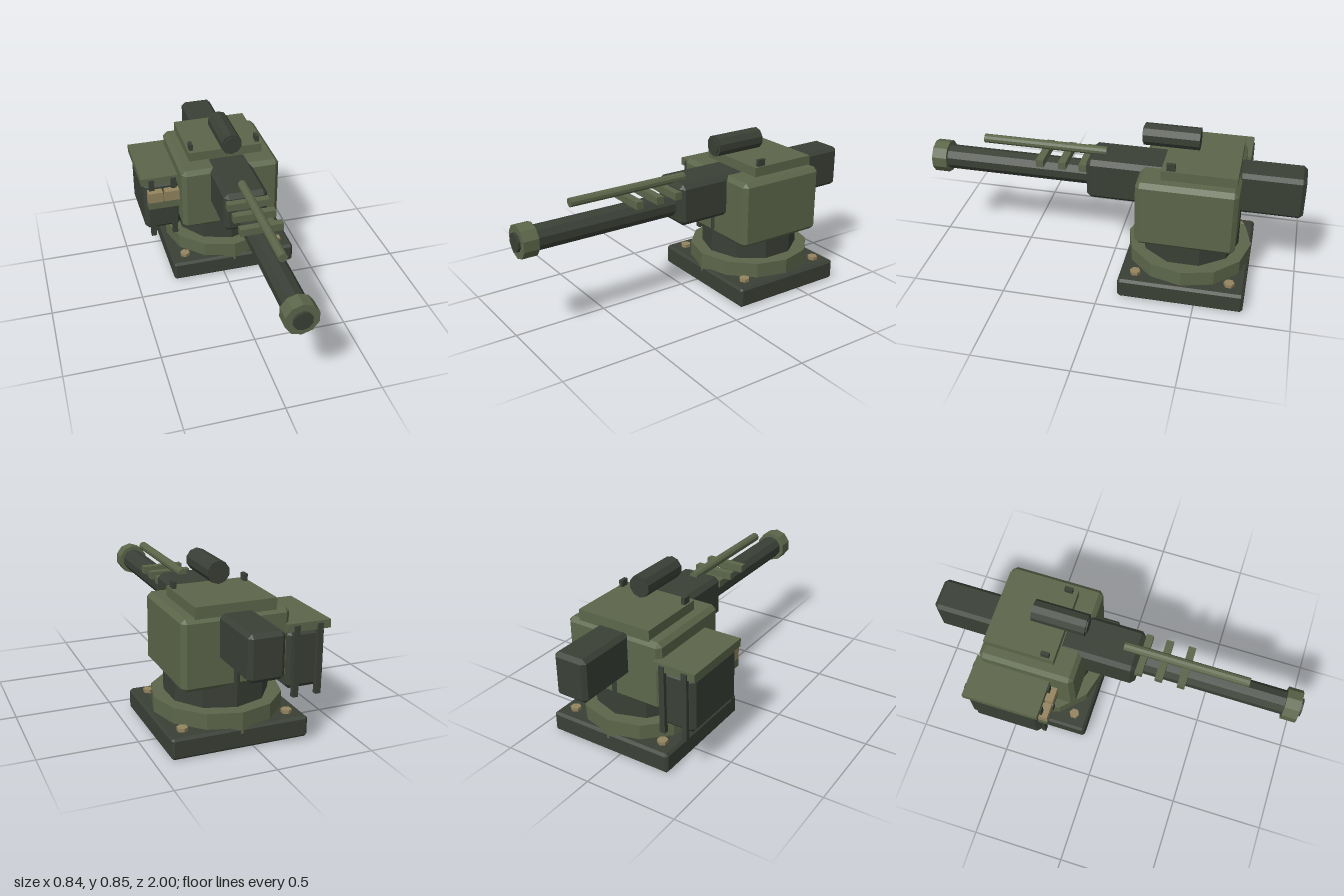
import * as THREE from 'three';
import { ConvexGeometry } from 'three/addons/geometries/ConvexGeometry.js';

const material = (name, color) => {
  const m = new THREE.MeshStandardMaterial({ color, flatShading: true });
  m.name = name;
  return m;
};

export function createModel() {
  const green = material('olive green', 0x5c664a);
  const dark = material('dark grey green', 0x3a4036);
  const tan = material('brass tan', 0x94845f);
  const root = new THREE.Group();
  root.name = 'mountedGun';
  const CX = 0.063, CZ = -0.425; // axis of the mount

  const add = (name, geometry, mat, x, y, z) => {
    const mesh = new THREE.Mesh(geometry, mat);
    mesh.name = name;
    mesh.position.set(x, y, z);
    root.add(mesh);
    return mesh;
  };

  // Box given by its limits, with chamfered edges when b > 0
  const box = (name, mat, x0, x1, y0, y1, z0, z1, b = 0) => {
    const w = x1 - x0, h = y1 - y0, d = z1 - z0;
    let geometry;
    if (b > 0) {
      const pts = [];
      for (const sx of [-1, 1]) for (const sy of [-1, 1]) for (const sz of [-1, 1]) {
        for (let k = 0; k < 3; k++) {
          pts.push(new THREE.Vector3(
            sx * (w / 2 - (k === 0 ? 0 : b)),
            sy * (h / 2 - (k === 1 ? 0 : b)),
            sz * (d / 2 - (k === 2 ? 0 : b))));
        }
      }
      geometry = new ConvexGeometry(pts);
    } else geometry = new THREE.BoxGeometry(w, h, d);
    return add(name, geometry, mat, (x0 + x1) / 2, (y0 + y1) / 2, (z0 + z1) / 2);
  };

  // Upright prism, one corner facing the front
  const drum = (name, mat, r, sides, x, z, y0, y1) =>
    add(name, new THREE.CylinderGeometry(r, r, y1 - y0, sides), mat, x, (y0 + y1) / 2, z);

  // Prism lying along z, one corner facing up
  const tube = (name, mat, r, sides, y, z0, z1) => {
    const g = new THREE.CylinderGeometry(r, r, z1 - z0, sides);
    g.rotateX(-Math.PI / 2);
    return add(name, g, mat, CX, y, (z0 + z1) / 2);
  };

  // Base and rotating pedestal
  box('basePlate', dark, CX - 0.354, CX + 0.354, 0, 0.11, CZ - 0.328, CZ + 0.328, 0.013);
  drum('turntableRing', green, 0.33, 12, CX, CZ, 0.08, 0.19);
  drum('pedestal', dark, 0.263, 10, CX, CZ, 0.18, 0.45);
  for (const sx of [-1, 1]) for (const sz of [-1, 1]) {
    drum('baseBolt', tan, 0.028, 6, CX + sx * 0.274, CZ + sz * 0.246, 0.1, 0.128);
  }

  // Turret housing with roof plate and pegs
  box('turretBody', green, CX - 0.276, CX + 0.276, 0.293, 0.656, CZ - 0.258, CZ + 0.258, 0.023);
  box('roofPlate', green, CX - 0.208, CX + 0.208, 0.64, 0.707, -0.668, -0.287);
  for (const s of [-1, 1]) {
    const x = CX + s * 0.19;
    box('roofPeg', dark, x - 0.01, x + 0.01, 0.7, 0.743, -0.357, -0.313);
  }

  // Gun housing, counterweight and barrel
  box('receiver', dark, CX - 0.118, CX + 0.118, 0.435, 0.661, -0.3, 0.12, 0.024);
  box('counterweight', dark, CX - 0.09, CX + 0.09, 0.437, 0.665, -1, -0.66, 0.02);
  tube('barrel', dark, 0.065, 10, 0.53, 0.1, 0.92);
  tube('muzzleCollar', green, 0.087, 10, 0.53, 0.906, 0.986);
  tube('muzzleTip', dark, 0.049, 10, 0.53, 0.95, 1);
  for (const z of [0.138, 0.248, 0.368]) {
    box('barrelClamp', green, CX - 0.113, CX + 0.113, 0.592, 0.632, z - 0.02, z + 0.02);
  }
  tube('guideRod', green, 0.024, 10, 0.666, 0.03, 0.7);

  // Sighting scope
  tube('scope', dark, 0.058, 10, 0.795, -0.455, -0.168);
  tube('scopeLens', dark, 0.042, 10, 0.795, -0.2, -0.161);

  // Ammunition box on the right side
  box('ammoBox', dark, -0.405, -0.196, 0.235, 0.536, -0.69, -0.3, 0.023);
  box('ammoLid', green, -0.42, -0.186, 0.535, 0.578, -0.704, -0.293);
  box('ammoShelf', green, -0.39, -0.208, 0.398, 0.442, -0.31, -0.258);
  for (const x of [-0.347, -0.254]) {
    box('ammoBlock', tan, x - 0.041, x + 0.041, 0.442, 0.502, -0.31, -0.254);
  }
  for (const x of [-0.363, -0.238]) {
    box('frontStrap', dark, x - 0.015, x + 0.015, 0.2, 0.566, -0.306, -0.285);
    box('rearStrap', dark, x - 0.015, x + 0.015, 0.2, 0.566, -0.71, -0.685);
  }
  return root;
}
